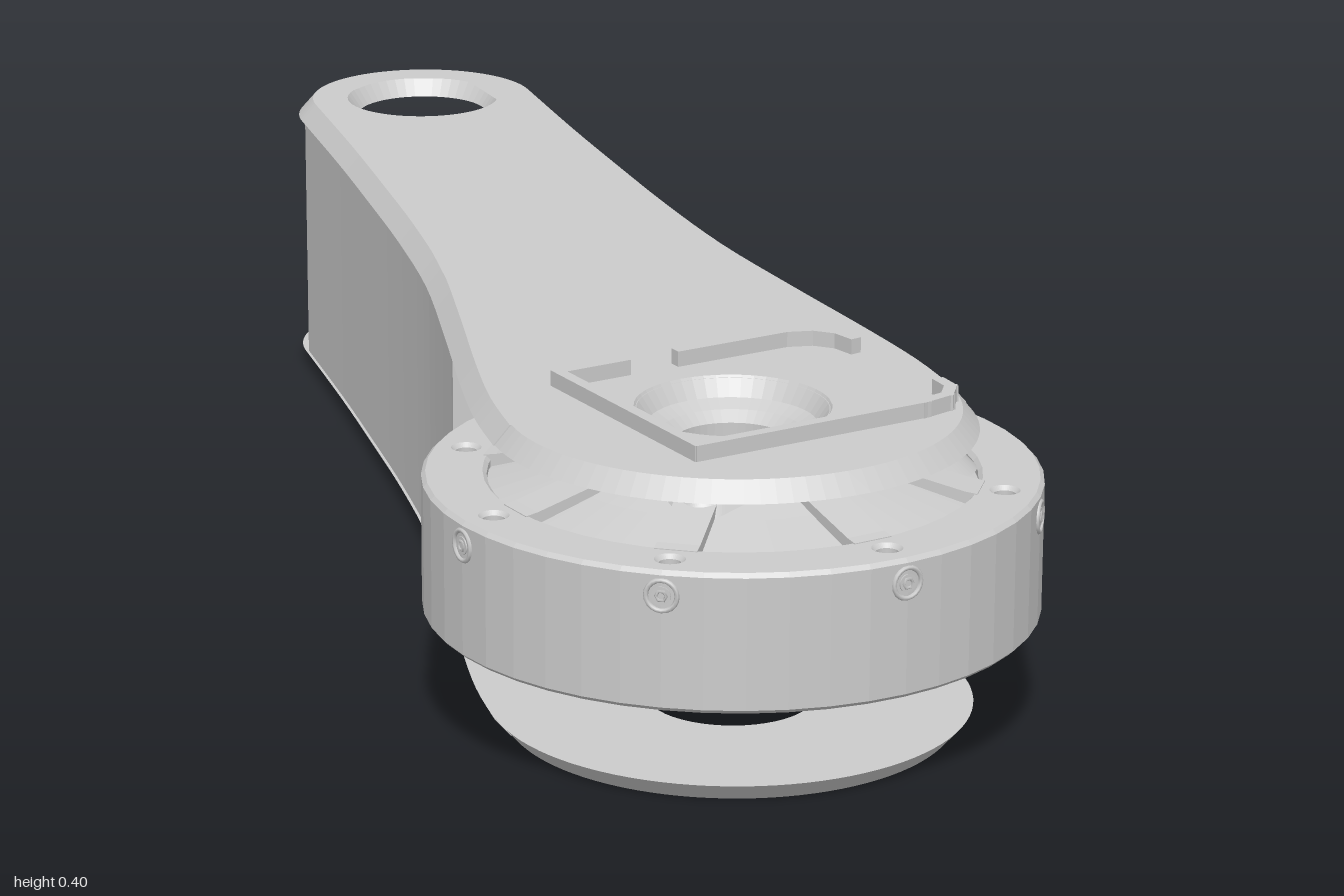
import * as THREE from 'three';

const material = new THREE.MeshStandardMaterial({ color: 0xcccccc });
const doubleSided = new THREE.MeshStandardMaterial({ color: 0xcccccc, side: THREE.DoubleSide });
const BIG = 0.635, SMALL = -0.825;      // z of the motor axis and of the far joint
const V = (x, y) => new THREE.Vector2(x, y);

function add(parent, name, geometry, mat = material) {
  const mesh = new THREE.Mesh(geometry, mat);
  mesh.name = name;
  parent.add(mesh);
  return mesh;
}

function circle(x, z, r) {
  return new THREE.Path().absarc(x, z, r, 0, Math.PI * 2, true);
}

// Extrudes a plan shape (x, z) between two heights, optionally bevelled
function slab(shape, y0, y1, bevel = 0) {
  const g = new THREE.ExtrudeGeometry(shape, {
    depth: y1 - y0 - 2 * bevel, curveSegments: 24, bevelEnabled: bevel > 0,
    bevelThickness: bevel, bevelSize: bevel, bevelOffset: -bevel, bevelSegments: 1,
  });
  return g.rotateX(Math.PI / 2).translate(0, y1 - bevel, 0);
}

// Half width of the arm along z
const flank = new THREE.SplineCurve([
  V(0.175, SMALL), V(0.178, -0.6), V(0.184, -0.4), V(0.192, -0.2), V(0.207, 0),
  V(0.236, 0.2), V(0.268, 0.4), V(0.285, 0.53), V(0.29, BIG),
]).getPoints(32);

// Teardrop cover plate, chamfered towards its outer face
function plateGeometry(y0, y1, outerY) {
  const shape = new THREE.Shape(flank);
  shape.absarc(0, BIG, 0.288, 0, Math.PI, false);
  flank.slice().reverse().forEach((p) => shape.lineTo(-p.x, p.y));
  shape.absarc(0, SMALL, 0.175, Math.PI, Math.PI * 2, false);
  shape.holes.push(circle(0, BIG, 0.1), circle(0, SMALL, 0.09));
  const g = slab(shape, y0, y1);
  const p = g.attributes.position;
  for (let i = 0; i < p.count; i++) {
    if (Math.abs(p.getY(i) - outerY) > 1e-4) continue;
    const cz = THREE.MathUtils.clamp(p.getZ(i), SMALL, BIG);
    const inHole = [[BIG, 0.1], [SMALL, 0.09]].find(
      ([z, r]) => Math.hypot(p.getX(i), p.getZ(i) - z) < r + 0.01);
    const centre = inHole ? inHole[0] : cz;
    const dx = p.getX(i), dz = p.getZ(i) - centre, d = Math.hypot(dx, dz);
    const k = (d + (inHole ? 0.016 : -0.02)) / d;
    p.setXYZ(i, dx * k, outerY, centre + dz * k);
  }
  g.computeVertexNormals();
  return g;
}

// Solid web between the plates, its far end cut diagonally
function webGeometry() {
  const inset = 0.004;
  const right = flank.filter((p) => p.y > -0.335 && p.y < 0.29);
  const left = flank.filter((p) => p.y < 0.29);
  const shape = new THREE.Shape([
    V(0.183, -0.335), ...right.map((p) => V(p.x - inset, p.y)), V(0.248, 0.29),
    V(-0.248, 0.29), ...left.reverse().map((p) => V(-p.x + inset, p.y)),
  ]);
  return slab(shape, 0.022, 0.363);
}

// Skewed square hub with rounded corners, in motor coordinates
function hubShape(scale, hole) {
  const c = [V(-0.18, -0.125), V(-0.1, 0.182), V(0.265, 0.085), V(0.15, -0.21)]
    .map((p) => p.multiplyScalar(scale));
  const round = [0.1, 0.1, 0.22, 0.22];
  const shape = new THREE.Shape();
  c.forEach((p, i) => {
    const a = p.clone().lerp(c[(i + 3) % 4], round[i]);
    const b = p.clone().lerp(c[(i + 1) % 4], round[i]);
    if (i) shape.lineTo(a.x, a.y); else shape.moveTo(a.x, a.y);
    shape.quadraticCurveTo(p.x, p.y, b.x, b.y);
  });
  shape.closePath();
  shape.holes.push(circle(0, 0, hole));
  return shape;
}

function radialBar(profile, width) {
  return new THREE.ExtrudeGeometry(new THREE.Shape(profile), { depth: width, bevelEnabled: false })
    .translate(0, 0, -width / 2);
}

function createMotor() {
  const motor = new THREE.Group();
  motor.name = 'motor';
  const angles = Array.from({ length: 8 }, (_, i) => Math.PI / 6 + i * Math.PI / 4);

  // Outer ring with vertical bolt holes
  const ring = new THREE.Shape().absarc(0, 0, 0.365, 0, Math.PI * 2, false);
  ring.holes.push(circle(0, 0, 0.288));
  angles.forEach((a) => ring.holes.push(circle(0.323 * Math.cos(a), 0.323 * Math.sin(a), 0.013)));
  add(motor, 'outerRing', slab(ring, 0.14, 0.307, 0.005));

  // Core with lower boss, recessed faces and central funnel bore
  const profile = [
    V(0.07, 0.123), V(0.222, 0.123), V(0.228, 0.129), V(0.228, 0.158), V(0.291, 0.158),
    V(0.291, 0.293), V(0.21, 0.316), V(0.15, 0.335), V(0.118, 0.38), V(0.113, 0.38),
    V(0.108, 0.365), V(0.085, 0.352), V(0.07, 0.34), V(0.07, 0.123),
  ];
  const core = new THREE.LatheGeometry(profile, 48).toNonIndexed();
  core.computeVertexNormals();
  add(motor, 'core', core, doubleSided);

  // Hub and its flared foot
  add(motor, 'hub', slab(hubShape(1, 0.113), 0.32, 0.382));
  const foot = slab(hubShape(1, 0.113), 0.306, 0.342);
  const p = foot.attributes.position;
  for (let i = 0; i < p.count; i++) {
    if (p.getY(i) < 0.32 && Math.hypot(p.getX(i), p.getZ(i)) > 0.12) {
      p.setX(i, p.getX(i) * 1.14);
      p.setZ(i, p.getZ(i) * 1.14);
    }
  }
  foot.computeVertexNormals();
  add(motor, 'hubFoot', foot);

  // Spokes above and below, and radial screws
  const topSpoke = radialBar([V(0.17, 0.29), V(0.295, 0.285), V(0.295, 0.308), V(0.28, 0.31), V(0.17, 0.337)], 0.05);
  const lowSpoke = radialBar([V(0.2, 0.142), V(0.295, 0.142), V(0.295, 0.165), V(0.2, 0.165)], 0.04);
  const rim = new THREE.TorusGeometry(0.018, 0.003, 6, 20).rotateY(Math.PI / 2).translate(0.3645, 0.278, 0);
  const head = new THREE.CylinderGeometry(0.011, 0.011, 0.004, 16).rotateZ(Math.PI / 2).translate(0.364, 0.278, 0);
  const socket = new THREE.TorusGeometry(0.006, 0.002, 4, 6).rotateY(Math.PI / 2).translate(0.366, 0.278, 0);
  angles.forEach((a) => {
    const unit = new THREE.Group();
    unit.name = 'spokeAndScrew';
    unit.rotation.y = -a;
    add(unit, 'upperSpoke', topSpoke);
    add(unit, 'lowerSpoke', lowSpoke);
    add(unit, 'screwRim', rim);
    add(unit, 'screwHead', head);
    add(unit, 'screwSocket', socket);
    motor.add(unit);
  });

  // Interrupted locating ridge standing above the cover plate
  const paths = [
    [V(-0.09, -0.148), V(-0.176, -0.125), V(-0.098, 0.178), V(0.2, 0.1), V(0.235, 0.083), V(0.249, 0.055), V(0.245, 0.03)],
    [V(-0.015, -0.166), V(0.13, -0.204), V(0.165, -0.2), V(0.19, -0.18), V(0.2, -0.155)],
  ];
  paths.forEach((path) => path.slice(1).forEach((b, i) => {
    const a = path[i], d = b.clone().sub(a);
    const bar = add(motor, 'ridge', new THREE.BoxGeometry(d.length() + 0.012, 0.03, 0.015));
    bar.position.set((a.x + b.x) / 2, 0.389, (a.y + b.y) / 2);
    bar.rotation.y = -d.angle();
  }));

  motor.position.z = BIG;
  return motor;
}

export function createModel() {
  const model = new THREE.Group();
  model.name = 'legLink';
  add(model, 'upperPlate', plateGeometry(0.362, 0.385, 0.385));
  add(model, 'lowerPlate', plateGeometry(0, 0.023, 0));
  add(model, 'web', webGeometry());
  model.add(createMotor());
  return model;
}
